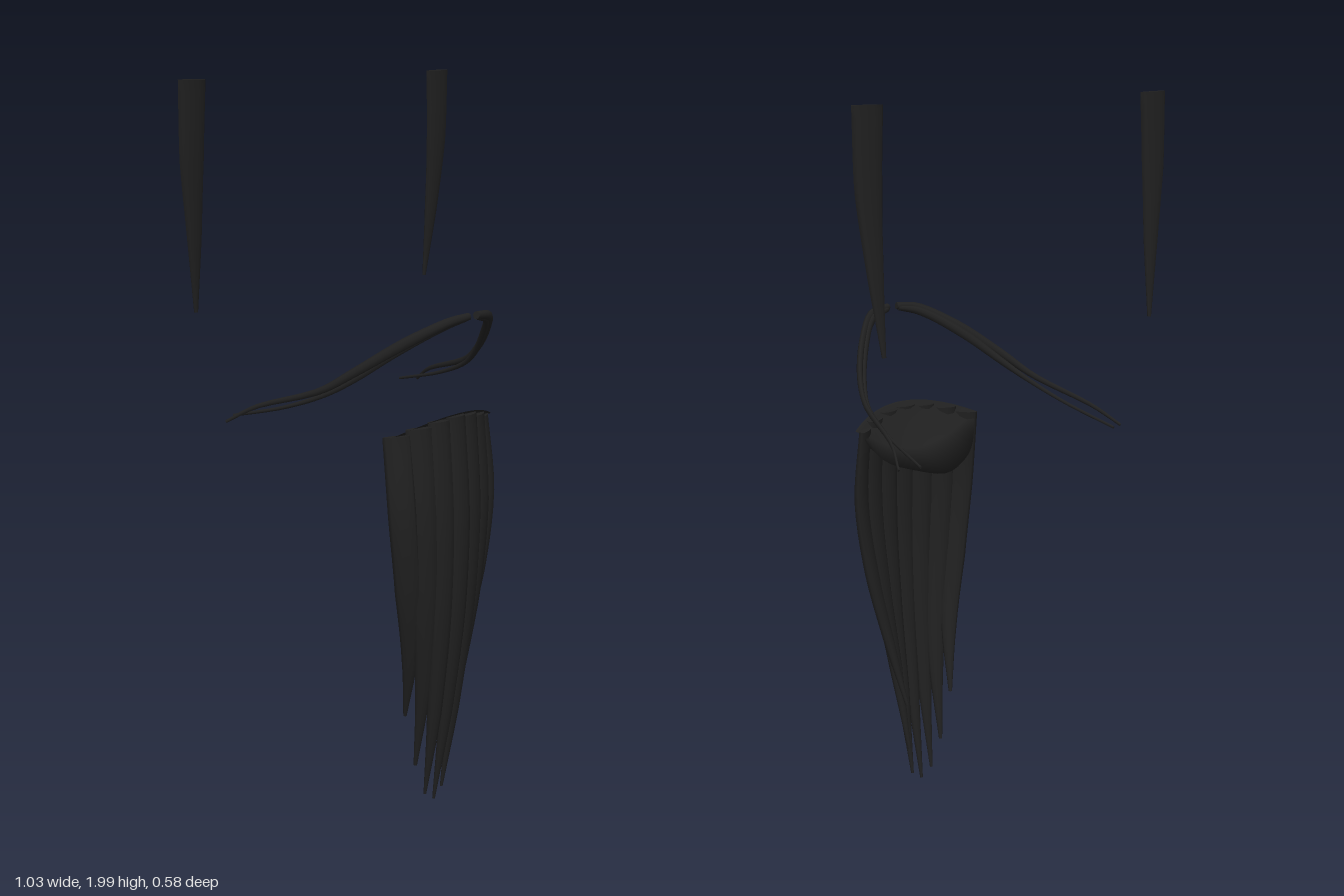
import * as THREE from 'three';

const hair = new THREE.MeshStandardMaterial({ color: 0x202020 });
hair.name = 'black hair';
const hairSheet = hair.clone();
hairSheet.name = 'black hair';
hairSheet.side = THREE.DoubleSide;

// Tapered lock of hair: keys are [x, y, z, halfWidth, halfDepth], widened along "across".
function lock(name, keys, across, mirror = 1, rings = 20, sides = 10) {
  const curve = new THREE.CatmullRomCurve3(keys.map(k => new THREE.Vector3(k[0] * mirror, k[1], k[2])));
  const wide = new THREE.Vector3(across[0] * mirror, across[1], across[2]);
  const pos = [], index = [];
  const ringPoints = i => {
    const u = i / rings, f = u * (keys.length - 1);
    const k = Math.min(Math.floor(f), keys.length - 2);
    const w = THREE.MathUtils.lerp(keys[k][3], keys[k + 1][3], f - k);
    const d = THREE.MathUtils.lerp(keys[k][4], keys[k + 1][4], f - k);
    const c = curve.getPoint(u), t = curve.getTangent(u);
    const side = wide.clone().addScaledVector(t, -wide.dot(t)).normalize();
    const n = t.clone().cross(side);
    const pts = [];
    for (let j = 0; j < sides; j++) {
      const a = j / sides * Math.PI * 2;
      pts.push(c.clone().addScaledVector(side, Math.cos(a) * w).addScaledVector(n, Math.sin(a) * d));
    }
    return { c, pts };
  };
  for (let i = 0; i <= rings; i++) {
    ringPoints(i).pts.forEach(p => pos.push(p.x, p.y, p.z));
    if (i === rings) break;
    for (let j = 0; j < sides; j++) {
      const a = i * sides + j, b = i * sides + (j + 1) % sides;
      index.push(a, b, a + sides, b, b + sides, a + sides);
    }
  }
  // flat end caps with their own vertices
  for (const i of [0, rings]) {
    const { c, pts } = ringPoints(i), base = pos.length / 3;
    [c, ...pts].forEach(p => pos.push(p.x, p.y, p.z));
    for (let j = 0; j < sides; j++) {
      const a = base + 1 + j, b = base + 1 + (j + 1) % sides;
      if (i) index.push(base, a, b); else index.push(base, b, a);
    }
  }
  const geo = new THREE.BufferGeometry();
  geo.setAttribute('position', new THREE.Float32BufferAttribute(pos, 3));
  geo.setIndex(index);
  geo.computeVertexNormals();
  const mesh = new THREE.Mesh(geo, hair);
  mesh.name = name;
  return mesh;
}

// Hair under the chin: rows run from the front rim, back over the chin and under again.
function chinPad() {
  const cols = 20, pos = [], index = [];
  const back = new THREE.CatmullRomCurve3([
    [-0.2, 1.08, 0.16], [-0.155, 1.01, 0.115], [-0.085, 0.982, 0.068], [0, 0.965, 0.042],
    [0.085, 0.982, 0.068], [0.155, 1.01, 0.115], [0.2, 1.08, 0.16]
  ].map(p => new THREE.Vector3(...p)));
  const rows = 5;
  for (let i = 0; i <= cols; i++) {
    const s = i / cols * 2 - 1, q = 1 - s * s, b = back.getPoint(i / cols);
    const column = [
      [0.207 * s, 1.09 + 0.045 * q, 0.18 + 0.062 * q],
      [0.205 * s, 1.088 + 0.032 * q, 0.172 + 0.043 * q],
      [0.19 * s, 1.085 - 0.07 * q, 0.168 - 0.005 * q],
      [b.x, b.y, b.z],
      [0.195 * s, 1.07 - 0.1 * q, 0.17 + 0.04 * q]
    ];
    column.forEach(p => pos.push(...p));
    if (i === cols) break;
    for (let r = 0; r < rows - 1; r++) {
      const a = i * rows + r;
      index.push(a, a + rows, a + 1, a + rows, a + rows + 1, a + 1);
    }
  }
  const geo = new THREE.BufferGeometry();
  geo.setAttribute('position', new THREE.Float32BufferAttribute(pos, 3));
  geo.setIndex(index);
  geo.computeVertexNormals();
  const mesh = new THREE.Mesh(geo, hairSheet);
  mesh.name = 'chinPad';
  return mesh;
}

export function createModel() {
  const model = new THREE.Group();
  model.name = 'facialHair';
  const beard = new THREE.Group(), moustache = new THREE.Group(), sideburns = new THREE.Group();
  beard.name = 'beard';
  moustache.name = 'moustache';
  sideburns.name = 'sideburns';
  model.add(beard, moustache, sideburns);

  // Beard: a long middle lock and three shorter ones to each side
  beard.add(chinPad());
  beard.add(lock('middleBeardLock', [
    [0, 1.125, 0.228, 0.036, 0.016], [0, 0.85, 0.245, 0.038, 0.02], [0, 0.58, 0.236, 0.034, 0.02],
    [0, 0.28, 0.202, 0.022, 0.016], [0, 0.005, 0.16, 0.004, 0.004]], [1, 0, 0]));
  const beardLocks = [
    { across: [1, 0, -0.2], keys: [
      [0.06, 1.12, 0.222, 0.036, 0.016], [0.06, 0.85, 0.237, 0.038, 0.02], [0.052, 0.58, 0.228, 0.034, 0.02],
      [0.04, 0.28, 0.195, 0.022, 0.016], [0.035, 0.03, 0.158, 0.004, 0.004]] },
    { across: [1, 0, -0.45], keys: [
      [0.12, 1.108, 0.205, 0.038, 0.016], [0.119, 0.87, 0.221, 0.04, 0.02], [0.1, 0.62, 0.213, 0.037, 0.02],
      [0.073, 0.36, 0.183, 0.024, 0.016], [0.058, 0.12, 0.142, 0.005, 0.005]] },
    { across: [1, 0, -0.8], keys: [
      [0.175, 1.092, 0.178, 0.038, 0.014], [0.176, 0.88, 0.199, 0.038, 0.018], [0.147, 0.66, 0.193, 0.035, 0.018],
      [0.108, 0.45, 0.165, 0.022, 0.014], [0.08, 0.27, 0.123, 0.005, 0.005]] }
  ];

  // Moustache: two thin strands per side that part towards the tips
  const moustacheStrands = [
    [[0.015, 1.4, 0.284, 0.01, 0.01], [0.08, 1.39, 0.27, 0.013, 0.01], [0.17, 1.335, 0.193, 0.015, 0.009],
      [0.25, 1.26, 0.095, 0.012, 0.008], [0.292, 1.208, 0.015, 0.009, 0.006],
      [0.348, 1.145, -0.175, 0.006, 0.004], [0.383, 1.1, -0.25, 0.004, 0.003]],
    [[0.02, 1.395, 0.28, 0.008, 0.008], [0.085, 1.379, 0.258, 0.012, 0.009], [0.17, 1.318, 0.178, 0.013, 0.008],
      [0.24, 1.243, 0.09, 0.01, 0.007], [0.277, 1.197, 0.02, 0.007, 0.005],
      [0.306, 1.15, -0.1, 0.005, 0.004], [0.333, 1.105, -0.275, 0.004, 0.003]]
  ];

  // Sideburns: flat blades that narrow downwards
  const sideburnKeys = [
    [0.468, 1.998, -0.253, 0.046, 0.013], [0.471, 1.8, -0.258, 0.041, 0.012],
    [0.461, 1.6, -0.268, 0.025, 0.01], [0.449, 1.4, -0.283, 0.006, 0.004]];

  for (const [label, m] of [['left', 1], ['right', -1]]) {
    beardLocks.forEach((b, i) => beard.add(lock(`${label}BeardLock${i + 1}`, b.keys, b.across, m)));
    moustacheStrands.forEach((k, i) =>
      moustache.add(lock(`${label}MoustacheStrand${i + 1}`, k, [0, 1, 0], m, 28, 8)));
    sideburns.add(lock(`${label}Sideburn`, sideburnKeys, [1, 0, 0], m));
  }
  return model;
}
